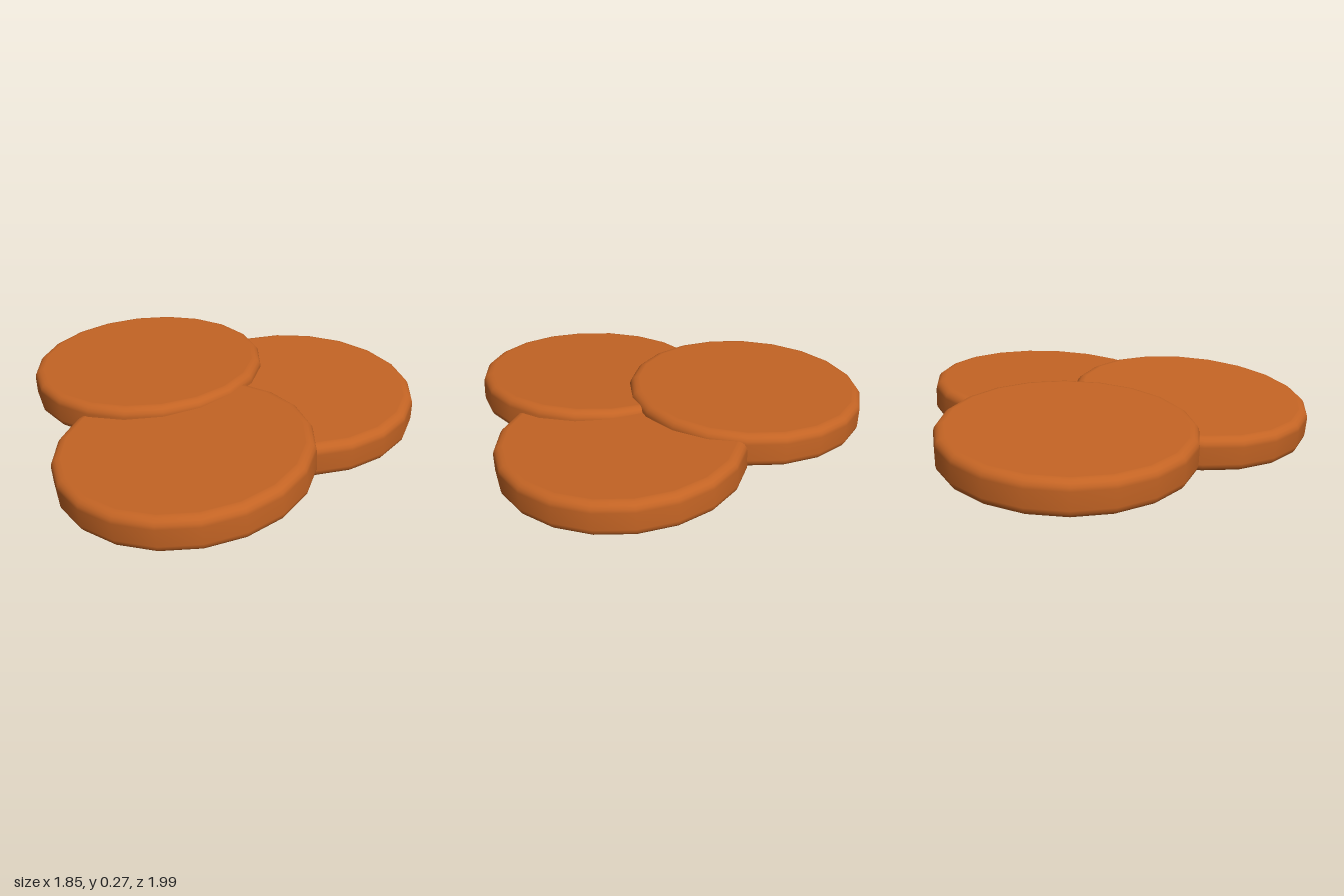
import * as THREE from 'three';

const RADIUS = 0.592, HALF = 0.083, BEVEL = 0.042, SIDES = 20;

// Rounded coin profile, spun into a 20-sided disc
function discGeometry() {
  const inner = RADIUS - BEVEL;
  const points = [new THREE.Vector2(0, -HALF), new THREE.Vector2(inner - 0.005, -HALF)];
  for (const side of [-1, 1]) {
    for (let i = 0; i <= 4; i++) {
      const a = (side < 0 ? i - 4 : i) * Math.PI / 8;
      points.push(new THREE.Vector2(
        inner + BEVEL * Math.cos(a),
        side * (HALF - BEVEL) + BEVEL * Math.sin(a)));
    }
  }
  points.push(new THREE.Vector2(inner - 0.005, HALF), new THREE.Vector2(0, HALF));
  return new THREE.LatheGeometry(points, SIDES);
}

export function createModel() {
  const group = new THREE.Group();
  group.name = 'discPile';
  const material = new THREE.MeshStandardMaterial({ color: 0xc46424 });
  material.name = 'copper orange';
  const geometry = discGeometry();

  // Three overlapping discs: centre, rise along x and z, spin in degrees
  const discs = [
    { name: 'backDisc', at: [-0.275, 0.166, -0.414], rise: [0.04, 0.015], spin: 9 },
    { name: 'frontDisc', at: [-0.341, 0.128, 0.408], rise: [0.078, 0], spin: -10.9 },
    { name: 'sideDisc', at: [0.333, 0.139, 0.08], rise: [0.02, -0.038], spin: 3 },
  ];
  const up = new THREE.Vector3(0, 1, 0);
  for (const { name, at, rise, spin } of discs) {
    const disc = new THREE.Mesh(geometry, material);
    disc.name = name;
    disc.position.set(...at);
    const normal = new THREE.Vector3(-rise[0], 1, -rise[1]).normalize();
    disc.quaternion.setFromUnitVectors(up, normal);
    disc.rotateY(THREE.MathUtils.degToRad(spin));
    group.add(disc);
  }
  return group;
}
